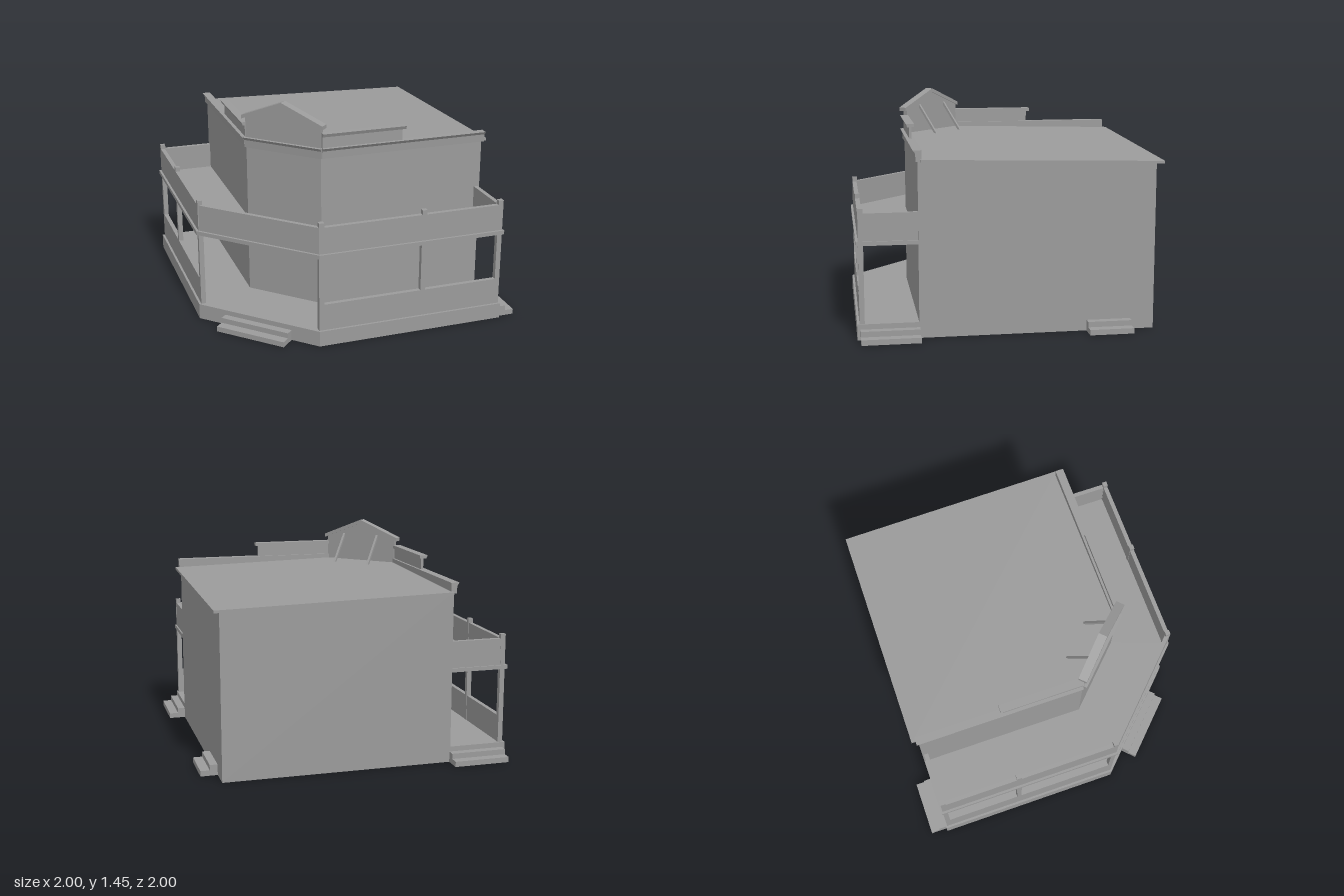
import * as THREE from 'three';

const mat = new THREE.MeshStandardMaterial({ color: 0x9b9b9b, flatShading: true });
const sheetMat = new THREE.MeshStandardMaterial({ color: 0x9b9b9b, flatShading: true, side: THREE.DoubleSide });

function add(parent, name, geo, x = 0, y = 0, z = 0, ry = 0, material = mat) {
  const m = new THREE.Mesh(geo, material);
  m.name = name;
  m.position.set(x, y, z);
  m.rotation.y = ry;
  parent.add(m);
  return m;
}

// box given by its x, y and z ranges
function block(parent, name, x0, x1, y0, y1, z0, z1) {
  const geo = new THREE.BoxGeometry(Math.abs(x1 - x0), y1 - y0, z1 - z0);
  return add(parent, name, geo, (x0 + x1) / 2, (y0 + y1) / 2, (z0 + z1) / 2);
}

const toShape = (pts) => new THREE.Shape(pts.map(([a, b]) => new THREE.Vector2(a, b)));
const extrude = (pts, depth) => new THREE.ExtrudeGeometry(toShape(pts), { depth, bevelEnabled: false });

// floor plan [x, z] raised upwards
const slab = (plan, h) => extrude(plan.map(([x, z]) => [x, -z]), h).rotateX(-Math.PI / 2);

// profile [z, y] swept along x, centred
const sweep = (profile, len) => extrude(profile, len).rotateY(-Math.PI / 2).translate(len / 2, 0, 0);

// thin upright wall along a path [x, z], with a top height that may vary
function wallSheet(path, bottom, topAt) {
  const pos = [];
  for (let i = 0; i + 1 < path.length; i++) {
    const [x, z] = path[i], [x2, z2] = path[i + 1];
    const t = topAt(x, z), t2 = topAt(x2, z2);
    pos.push(x, bottom, z, x2, bottom, z2, x2, t2, z2, x, bottom, z, x2, t2, z2, x, t, z);
  }
  const geo = new THREE.BufferGeometry();
  geo.setAttribute('position', new THREE.Float32BufferAttribute(pos, 3));
  geo.computeVertexNormals();
  return geo;
}

// roof falls towards the back corner
const roofY = (x, z) => 1.137 - 0.025 * (x - z);

const parapet = [[0.59, 1.115], [0.627, 1.115], [0.63, 1.165], [0.645, 1.185], [0.59, 1.185]];
const parapetCap = [[0.59, 1.26], [0.635, 1.26], [0.645, 1.282], [0.59, 1.282]];

// two steps, hollow underneath and open towards the building
function addSteps(parent, name, len, x, z, ry) {
  const profile = [[0, 0], [0.11, 0], [0.11, 0.035], [0.05, 0.035], [0.05, 0.07], [0, 0.07]];
  const solid = sweep(profile, len).attributes.position;
  const kept = [];
  for (let i = 0; i < solid.count; i += 3) {
    const ids = [i, i + 1, i + 2];
    if (ids.every((k) => solid.getY(k) < 1e-5) || ids.every((k) => Math.abs(solid.getZ(k)) < 1e-5)) continue;
    for (const k of ids) kept.push(solid.getX(k), solid.getY(k), solid.getZ(k));
  }
  const geo = new THREE.BufferGeometry();
  geo.setAttribute('position', new THREE.Float32BufferAttribute(kept, 3));
  geo.computeVertexNormals();
  add(parent, name, geo, x, 0, z, ry, sheetMat);
}

// one straight side; s = 1 for the front, -1 for its mirror image on the other side
function wing(s) {
  const g = new THREE.Group();
  g.name = s > 0 ? 'frontWing' : 'rightWing';
  g.rotation.y = s > 0 ? 0 : -Math.PI / 2;

  // porch posts, panel and balcony rails
  for (const x of [-0.352, 0.334, 0.865])
    block(g, 'porchPost', s * (x - 0.0165), s * (x + 0.0165), 0.1, 0.83, 0.953, 0.985);
  block(g, 'porchPanel', s * -0.363, s * 0.88, 0.1, 0.28, 0.956, 0.985);
  block(g, 'balconyRail', s * -0.363, s * 0.88, 0.625, 0.8, 0.956, 0.985);
  block(g, 'balconyEndRail', s * 0.851, s * 0.88, 0.625, 0.8, 0.615, 0.985);
  addSteps(g, 'porchEndSteps', 0.37, s * 0.89, 0.795, s * Math.PI / 2);

  // stepped parapet
  add(g, 'parapet', sweep(parapet, 1.13), s * 0.34);
  block(g, 'upperParapet', s * -0.225, s * 0.32, 1.185, 1.26, 0.605, 0.622);
  add(g, 'upperParapetCap', sweep(parapetCap, 0.565), s * 0.0575);
  return g;
}

// angled corner with the gable
function corner() {
  const g = new THREE.Group();
  g.name = 'angledCorner';
  g.rotation.y = -Math.PI / 4;

  block(g, 'balconyCornerRail', -0.438, 0.438, 0.625, 0.8, 0.925, 0.953);
  addSteps(g, 'cornerSteps', 0.49, 0, 0.969, 0);
  add(g, 'cornerParapet', sweep(parapet, 0.56), 0, 0, -0.018);

  // gable wall and its roof
  const wall = [[-0.272, 1.115], [0.272, 1.115], [0.272, 1.325], [0, 1.435], [-0.272, 1.325]];
  add(g, 'gableWall', extrude(wall, 0.035), 0, 0, 0.57);
  const roof = [[-0.293, 1.311], [0, 1.425], [0.293, 1.311], [0.293, 1.335], [0, 1.452], [-0.293, 1.335]];
  add(g, 'gableRoof', extrude(roof, 0.058), 0, 0, 0.565);

  // braces behind the gable
  const a = new THREE.Vector3(0, 1.35, 0.582), b = new THREE.Vector3(0, 1.145, 0.42);
  for (const x of [-0.134, 0.134]) {
    const brace = add(g, 'gableBrace', new THREE.BoxGeometry(0.016, 0.016, a.distanceTo(b)),
      x, (a.y + b.y) / 2, (a.z + b.z) / 2);
    brace.rotation.x = -Math.atan2(a.y - b.y, a.z - b.z);
  }
  return g;
}

export function createModel() {
  const model = new THREE.Group();
  model.name = 'cornerBuilding';

  // thin house walls; those on the porch start at its floor
  const wallTop = (x, z) => roofY(x, z) - 0.008;
  const porchSide = [[-0.615, -0.89], [-0.615, 0.23], [-0.23, 0.615], [0.89, 0.615]];
  const backSide = [[0.89, 0.615], [0.89, -0.89], [-0.615, -0.89]];
  add(model, 'porchSideWalls', wallSheet(porchSide, 0.1, wallTop), 0, 0, 0, 0, sheetMat);
  add(model, 'backWalls', wallSheet(backSide, 0, wallTop), 0, 0, 0, 0, sheetMat);

  // sloping roof
  const roof = slab([[-0.6, -0.931], [-0.6, 0.21], [-0.21, 0.6], [0.931, 0.6], [0.931, -0.931]], 0.017);
  const p = roof.attributes.position;
  for (let i = 0; i < p.count; i++) p.setY(i, p.getY(i) - 0.017 + roofY(p.getX(i), p.getZ(i)));
  roof.computeVertexNormals();
  add(model, 'roof', roof);

  // porch floor on a thin skirt, and the balcony floor above it
  const rim = [[0.89, 0.615], [0.89, 1], [-0.37, 1], [-1, 0.37], [-1, -0.89], [-0.615, -0.89]];
  const deck = [...rim, [-0.615, 0.23], [-0.23, 0.615]];
  add(model, 'porchSkirt', wallSheet(rim, 0, () => 0.1), 0, 0, 0, 0, sheetMat);
  add(model, 'porchFloor', slab(deck, 0.006), 0, 0.097, 0);
  add(model, 'balconyFloor', slab(deck, 0.026), 0, 0.599, 0);

  model.add(wing(1), wing(-1), corner());
  addSteps(model, 'sideDoorSteps', 0.285, 0.89, -0.595, Math.PI / 2);
  return model;
}
